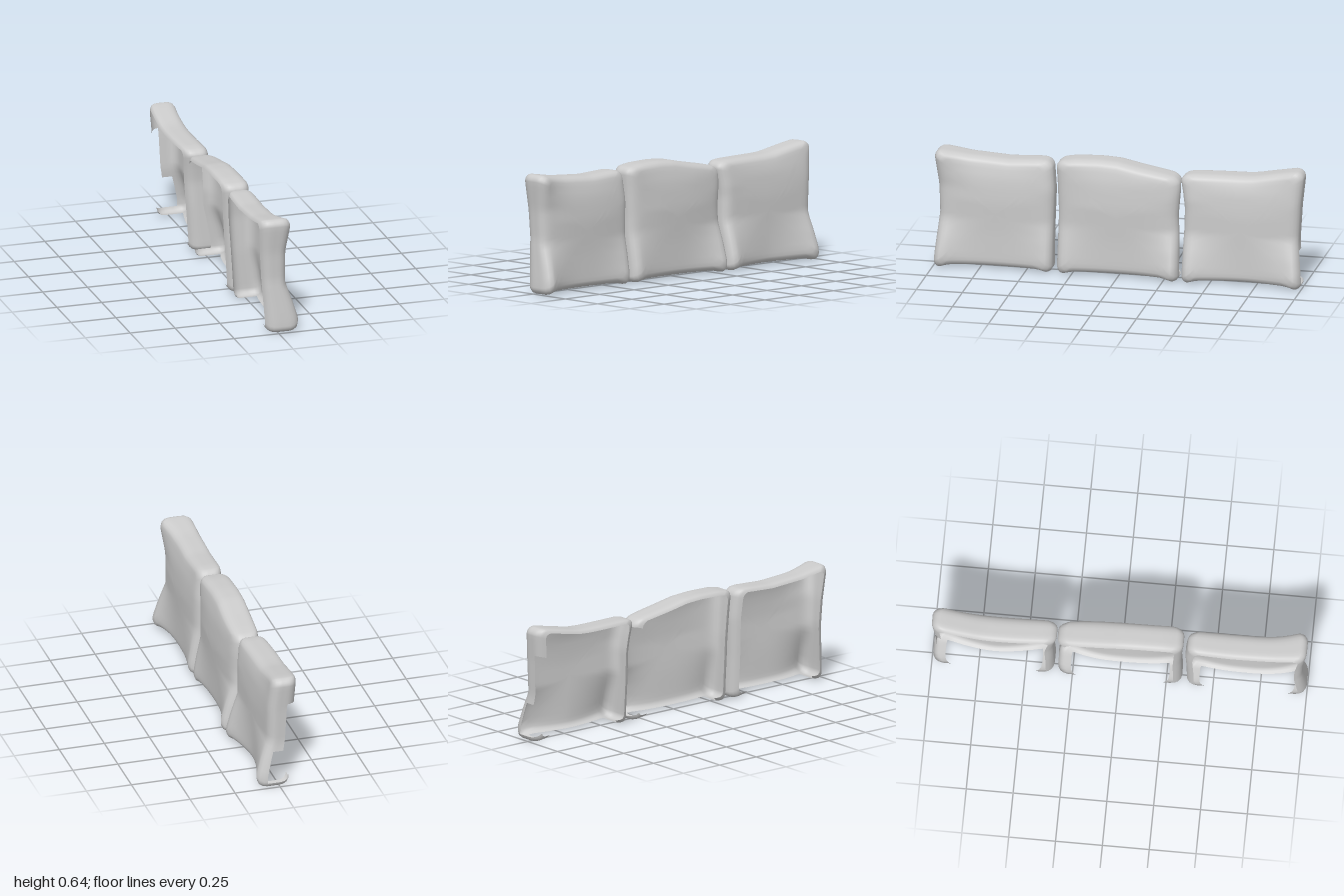
import * as THREE from 'three';

const { lerp, smoothstep } = THREE.MathUtils;

// Linear lookup through [position, value] pairs in rising order
function curve(points) {
  return t => {
    if (t <= points[0][0]) return points[0][1];
    for (let i = 1; i < points.length; i++) {
      const [p, v] = points[i - 1], [q, w] = points[i];
      if (t <= q) return lerp(v, w, (t - p) / (q - p));
    }
    return points[points.length - 1][1];
  };
}

// Rounded-square outline, counter-clockwise, from -1 to 1 both ways
function outline(radius = 0.12, sideSteps = 20, cornerSteps = 6) {
  const pts = [];
  const c = 1 - radius;
  [[c, c], [-c, c], [-c, -c], [c, -c]].forEach(([cx, cy], k) => {
    for (let i = 0; i <= cornerSteps; i++) {
      const t = (k + i / cornerSteps) * Math.PI / 2;
      pts.push([cx + radius * Math.cos(t), cy + radius * Math.sin(t)]);
    }
    const [sx, sy] = pts[pts.length - 1];
    const dx = [0, -1, 0, 1][(k + 1) % 4], dy = [1, 0, -1, 0][(k + 1) % 4];
    for (let i = 1; i < sideSteps; i++) {
      pts.push([sx + dx * 2 * c * i / sideSteps, sy + dy * 2 * c * i / sideSteps]);
    }
  });
  return pts;
}

// Section from face centre, over the front edge, along the side, to the back lip:
// [width scale, height scale, depth]; the sides are rounder than the top and bottom
const section = [
  [0, 0, 0], [0.15, 0.15, 0], [0.3, 0.3, 0], [0.45, 0.45, 0], [0.58, 0.6, 0], [0.68, 0.72, 0],
  [0.76, 0.82, 0], [0.83, 0.89, 0.004], [0.894, 0.935, 0.025], [0.95, 0.97, 0.094],
  [0.987, 0.992, 0.197], [1, 1, 0.31], [1, 1, 0.43], [1, 1, 0.56], [1, 1, 0.68],
  [0.987, 0.998, 0.8], [0.955, 0.985, 0.9], [0.915, 0.965, 0.96], [0.87, 0.93, 1],
];

// Open-backed shell; a runs toward -z, b runs upward
function cushion(name, { top, near, far, middle, nearEdge, farEdge, toePower, bow, rim }) {
  const topAt = curve(top), nearAt = curve(near), farAt = curve(far);
  const middleAt = curve(middle), nearEdgeAt = curve(nearEdge), farEdgeAt = curve(farEdge);
  const loop = outline(), n = loop.length;
  const pos = [], index = [];

  section.forEach(([wide, high, depth]) => loop.forEach(([pa, pb]) => {
    const a = pa * wide, b = pb * high;
    const base = 0.014 - 0.012 * smoothstep(Math.abs(a), 0.7, 0.95);
    const y = lerp(base, topAt(a), (b + 1) / 2);
    const z = lerp(nearAt(y), farAt(y), (a + 1) / 2);
    const edge = a < 0 ? nearEdgeAt(y) : farEdgeAt(y);
    const front = lerp(middleAt(y), edge, Math.min(1, Math.abs(a) / 0.9) ** toePower);
    const back = lerp(-0.06, -0.095, y / 0.6) - bow * (1 - a * a) * y / 0.6;
    pos.push(lerp(front, back, depth), y, z);
  }));

  // The underside keeps only its corner tabs; the far side may be cut back
  const limit = (a, b) => {
    if (b < -0.9) return Math.abs(a) > 0.78 ? 1 : 0.2;
    if (a > 0.9) return rim((b + 1) * 0.31);
    return 1;
  };
  for (let k = 1; k < section.length; k++) {
    for (let i = 0; i < n; i++) {
      const j = (i + 1) % n;
      const a = (loop[i][0] + loop[j][0]) / 2, b = (loop[i][1] + loop[j][1]) / 2;
      if (section[k][2] > limit(a, b)) continue;
      const p = (k - 1) * n + i, q = (k - 1) * n + j, r = k * n + i, s = k * n + j;
      index.push(p, r, s);
      if (k > 1) index.push(p, s, q);
    }
  }

  const geometry = new THREE.BufferGeometry();
  geometry.setAttribute('position', new THREE.Float32BufferAttribute(pos, 3));
  geometry.setIndex(index);
  geometry.computeVertexNormals();
  const mesh = new THREE.Mesh(geometry,
    new THREE.MeshStandardMaterial({ color: 0xcccccc, side: THREE.DoubleSide }));
  mesh.name = name;
  return mesh;
}

// Depth of the face up each side edge: swollen toe, slim waist, then the head
const sideEdge = (toe, head) =>
  [[0, toe], [0.07, toe], [0.16, lerp(toe, 0.055, 0.4)], [0.27, 0.055], [0.45, 0.055], [0.6, head]];

export function createModel() {
  const group = new THREE.Group();
  group.name = 'backCushions';
  group.add(
    cushion('frontCushion', {
      top: [[-1, 0.643], [-0.85, 0.64], [-0.4, 0.617], [0.25, 0.604], [0.8, 0.613], [1, 0.607]],
      near: [[0, 1], [0.08, 0.995], [0.3, 0.974], [0.45, 0.98], [0.6, 1]],
      far: [[0, 0.357], [0.25, 0.358], [0.45, 0.352], [0.6, 0.365]],
      middle: [[0, 0.064], [0.2, 0.064], [0.38, 0.072], [0.5, 0.064], [0.62, 0.036]],
      nearEdge: sideEdge(0.124, 0.08), farEdge: sideEdge(0.095, 0.04),
      toePower: 2.5, bow: 0.005, rim: () => 1,
    }),
    cushion('middleCushion', {
      top: [[-1, 0.615], [-0.7, 0.63], [-0.3, 0.634], [0, 0.628], [0.35, 0.604], [0.8, 0.577], [1, 0.56]],
      near: [[0, 0.333], [0.35, 0.33], [0.5, 0.337], [0.6, 0.344]],
      far: [[0, -0.332], [0.2, -0.326], [0.35, -0.318], [0.5, -0.33], [0.6, -0.325]],
      middle: [[0, 0.064], [0.2, 0.066], [0.38, 0.076], [0.52, 0.067], [0.62, 0.044]],
      nearEdge: sideEdge(0.095, 0.055), farEdge: sideEdge(0.122, 0.04),
      toePower: 2.5, bow: 0.008, rim: y => (y > 0.57 ? 1 : 0.44),
    }),
    cushion('rearCushion', {
      top: [[-1, 0.575], [-0.8, 0.587], [0, 0.59], [0.2, 0.594], [0.55, 0.617], [0.85, 0.636], [1, 0.634]],
      near: [[0, -0.347], [0.2, -0.35], [0.4, -0.355], [0.48, -0.345], [0.56, -0.33]],
      far: [[0, -1], [0.08, -0.995], [0.25, -0.974], [0.45, -0.985], [0.6, -1]],
      middle: [[0, 0.06], [0.2, 0.058], [0.38, 0.06], [0.5, 0.05], [0.6, 0.022]],
      nearEdge: sideEdge(0.12, 0.035), farEdge: sideEdge(0.124, 0.042),
      toePower: 1.7, bow: 0.02, rim: y => (y > 0.48 ? 1 : y > 0.2 ? 0.7 : 0.34),
    }),
  );
  return group;
}
